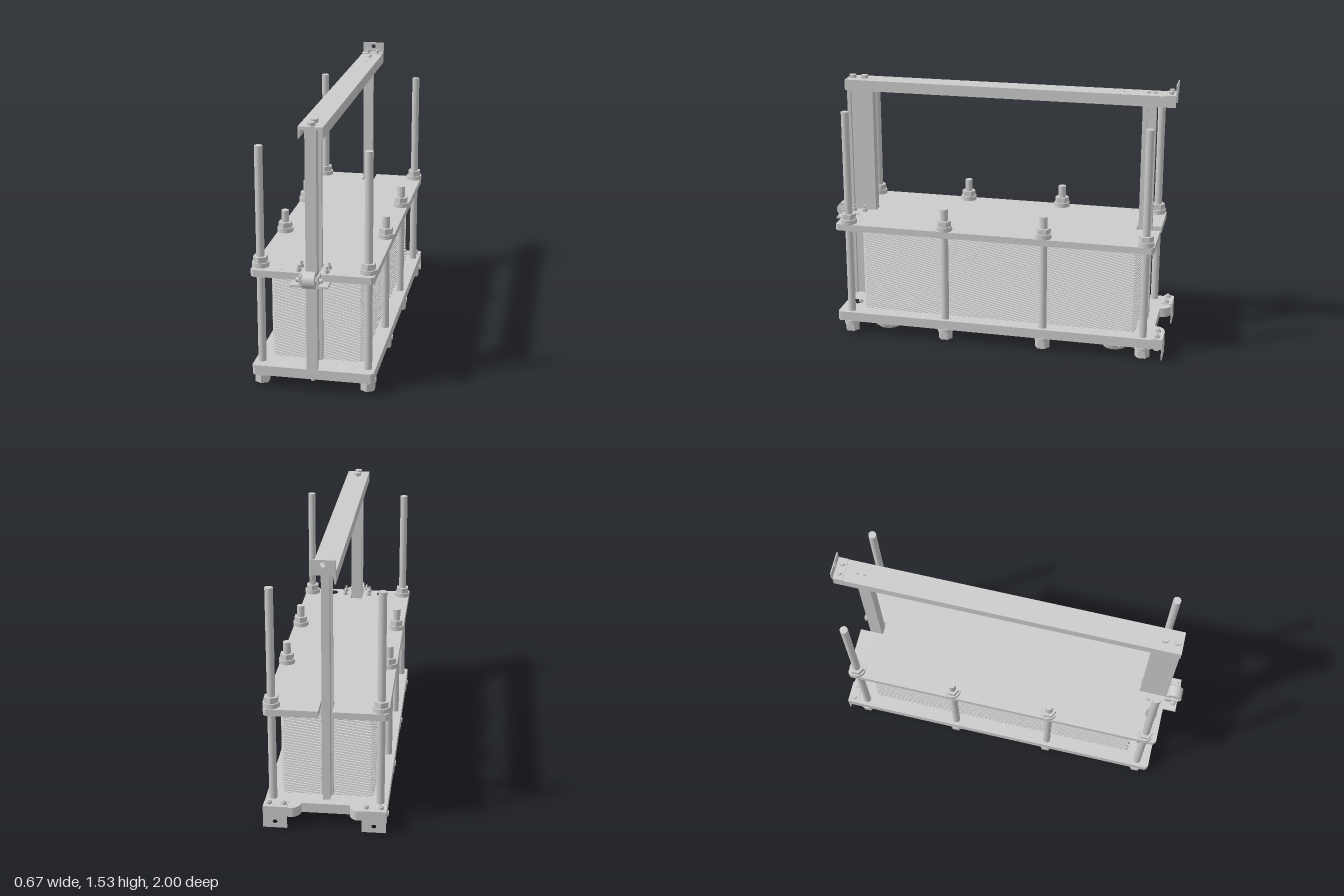
import * as THREE from 'three';
import { toCreasedNormals } from 'three/addons/utils/BufferGeometryUtils.js';

const grey = new THREE.MeshStandardMaterial({ color: 0xcccccc });
const faceted = new THREE.MeshStandardMaterial({ color: 0xcccccc, flatShading: true });

function add(parent, name, geo, x = 0, y = 0, z = 0, mat = grey) {
  const m = new THREE.Mesh(geo, mat);
  m.name = name;
  m.position.set(x, y, z);
  parent.add(m);
  return m;
}

// Box given by its limits on each axis
function block(parent, name, x0, x1, y0, y1, z0, z1) {
  return add(parent, name, new THREE.BoxGeometry(x1 - x0, y1 - y0, z1 - z0),
    (x0 + x1) / 2, (y0 + y1) / 2, (z0 + z1) / 2);
}

// Upright cylinder from y0 to y1; six sides make a hexagon
function post(parent, name, r, y0, y1, x, z, sides = 24, rBottom = r) {
  return add(parent, name, new THREE.CylinderGeometry(r, rBottom, y1 - y0, sides),
    x, (y0 + y1) / 2, z, sides === 6 ? faceted : grey);
}

// Horizontal sheet from an (x, z) outline between y0 and y1
function sheetGeometry(shape, thickness) {
  const g = new THREE.ExtrudeGeometry(shape, { depth: thickness, bevelEnabled: false, curveSegments: 10 });
  return g.rotateX(Math.PI / 2);
}

function outline(points) {
  return new THREE.Shape(points.map(([x, z]) => new THREE.Vector2(x, z)));
}

function circleHole(shape, x, y, r) {
  shape.holes.push(new THREE.Path().absarc(x, y, r, 0, Math.PI * 2, true));
}

// Mirrors the +x half of an outline (listed from front to back) across x = 0
function mirrored(half) {
  return outline([...half, ...half.map(([x, z]) => [-x, z]).reverse()]);
}

// Upright plate with a fixing hole, lying in the xy plane
function holedPlate(parent, name, x0, x1, y0, y1, z, hx, hy) {
  const s = outline([[x0, y0], [x1, y0], [x1, y1], [x0, y1]]);
  circleHole(s, hx, hy, 0.013);
  add(parent, name, new THREE.ExtrudeGeometry(s, { depth: 0.006, bevelEnabled: false }), 0, 0, z);
}

function bolt(parent, x, y, z, r = 0.014, h = 0.018) {
  post(parent, 'boltHead', r, y, y + h, x, z, 6);
}

export function createModel() {
  const model = new THREE.Group();
  model.name = 'plateHeatExchanger';
  const group = (name) => {
    const g = new THREE.Group();
    g.name = name;
    model.add(g);
    return g;
  };

  // Lower pressure plate with rear mounting tabs
  const tab = [];
  for (let i = 0; i <= 8; i++) {
    const a = (i / 8) * Math.PI / 2;
    tab.push([0.195 - 0.065 * Math.sin(a), -1 + 0.065 * (1 - Math.cos(a))]);
  }
  const lower = mirrored([[0.315, 0.91], [0.33, 0.895], [0.33, -0.994], [0.2, -0.994],
    ...tab.map(([x, z]) => [x, Math.max(z, -0.994)]), [0.07, -0.935]]);
  // Upper pressure plate slotted around both columns
  const upper = mirrored([[0.037, 0.75], [0.037, 0.905], [0.315, 0.905], [0.33, 0.89],
    [0.33, -0.92], [0.315, -0.935], [0.037, -0.935], [0.037, -0.8]]);
  for (const s of [-1, 1]) {
    circleHole(lower, s * 0.16, 0.845, 0.034);
    circleHole(upper, s * 0.16, 0.845, 0.034);
    for (const z of [0.65, -0.71]) circleHole(lower, s * 0.15, z, 0.055);
  }
  add(model, 'lowerPlate', sheetGeometry(lower, 0.055), 0, 0.13, 0);
  add(model, 'upperPlate', sheetGeometry(upper, 0.038), 0, 0.675, 0);

  // Stack of thin heat transfer plates
  const pack = group('platePack');
  const thin = mirrored([[0.035, 0.745], [0.035, 0.77], [0.235, 0.77], [0.25, 0.755],
    [0.25, -0.82], [0.235, -0.835], [0.035, -0.835], [0.035, -0.805]]);
  const thinGeo = sheetGeometry(thin, 0.0016);
  const count = 116;
  for (let i = 0; i < count; i++) {
    add(pack, 'heatPlate', thinGeo, 0, 0.1335 + (i + 0.5) * 0.503 / count, 0);
  }

  // Tie rods with nuts and washers
  const rods = group('tieRods');
  for (const x of [-0.29, 0.29]) {
    for (const z of [0.835, 0.265, -0.31, -0.885]) {
      const tall = Math.abs(z) > 0.5;
      post(rods, 'rod', 0.022, 0.012, tall ? 1.335 : 0.8, x, z);
      post(rods, 'lowerNut', 0.042, 0.01, 0.057, x, z, 6);
      post(rods, 'lowerWasher', 0.046, 0.055, 0.076, x, z);
      post(rods, 'upperWasher', 0.046, 0.674, 0.7, x, z);
      post(rods, 'upperNut', 0.041, 0.7, 0.732, x, z, 6);
    }
  }

  // Port flanges under the lower plate
  const flangeGeo = toCreasedNormals(new THREE.LatheGeometry([[0.055, 0.08], [0.055, 0], [0.068, 0],
    [0.085, 0.045], [0.122, 0.045], [0.122, 0.072], [0.055, 0.08]].map(([r, y]) => new THREE.Vector2(r, y)), 36), 0.5);
  const ports = group('ports');
  for (const x of [-0.15, 0.15]) {
    for (const z of [0.65, -0.71]) {
      add(ports, 'portFlange', flangeGeo, x, 0, z, new THREE.MeshStandardMaterial({ color: 0xcccccc, side: THREE.DoubleSide }));
      for (let i = 0; i < 8; i++) {
        const a = (i + 0.5) * Math.PI / 4;
        bolt(ports, x + 0.102 * Math.cos(a), 0.033, z + 0.102 * Math.sin(a), 0.013, 0.013);
      }
    }
  }

  // Front I-beam column
  const front = group('frontColumn');
  block(front, 'frontFlange', -0.03, 0.03, 0.13, 1.45, 0.889, 0.91);
  block(front, 'rearFlange', -0.03, 0.03, 0.13, 1.45, 0.755, 0.777);
  block(front, 'web', -0.012, 0.012, 0.13, 1.45, 0.777, 0.889);
  for (const z of [0.81, 0.88]) bolt(front, 0, 0.058, z);

  // Rear T-section column
  const rear = group('rearColumn');
  block(rear, 'flange', -0.03, 0.03, 0.13, 1.45, -0.835, -0.81);
  block(rear, 'web', -0.02, 0.02, 0.13, 1.45, -0.885, -0.835);

  // Overhead channel, open downwards, with tapered legs
  const beam = group('overheadBeam');
  const section = outline([[-0.065, 1.465], [-0.065, 1.403], [-0.058, 1.403], [-0.05, 1.448],
    [0.05, 1.448], [0.058, 1.403], [0.065, 1.403], [0.065, 1.465]]);
  add(beam, 'channel', new THREE.ExtrudeGeometry(section, { depth: 1.905, bevelEnabled: false }), 0, 0, -0.995);
  holedPlate(beam, 'endBracket', -0.065, 0.065, 1.465, 1.53, -1, 0, 1.505);
  block(beam, 'endBracketFoot', -0.065, 0.065, 1.465, 1.47, -1, -0.94);
  for (const x of [-0.028, 0.028]) bolt(beam, x, 1.469, -0.965);
  for (const z of [-0.875, -0.835]) bolt(beam, 0, 1.464, z, 0.011, 0.01);
  for (const z of [0.81, 0.88]) bolt(beam, 0, 1.464, z, 0.022, 0.02);
  post(beam, 'pin', 0.009, 1.46, 1.467, 0, -0.7, 12);

  // Roller and its carrier at the front of the upper plate
  const carrier = group('rollerCarrier');
  const wheel = add(carrier, 'roller', new THREE.CylinderGeometry(0.045, 0.045, 0.066, 32), 0, 0.66, 0.955);
  wheel.rotation.z = Math.PI / 2;
  const axle = add(carrier, 'axle', new THREE.CylinderGeometry(0.013, 0.013, 0.14, 16), 0, 0.66, 0.955);
  axle.rotation.z = Math.PI / 2;
  for (const s of [-1, 1]) {
    const [a, b] = s > 0 ? [0.04, 0.1] : [-0.1, -0.04];
    block(carrier, 'carrierPlate', a, b, 0.625, 0.637, 0.78, 0.98);
    const [c, d] = s > 0 ? [0.042, 0.052] : [-0.052, -0.042];
    block(carrier, 'cheek', c, d, 0.635, 0.685, 0.905, 0.98);
    for (const z of [0.81, 0.875]) {
      post(carrier, 'stud', 0.008, 0.61, 0.71, s * 0.075, z, 12);
      bolt(carrier, s * 0.075, 0.675, z, 0.015);
      bolt(carrier, s * 0.075, 0.611, z, 0.015, 0.014);
    }
  }

  // Rear mounting brackets
  const feet = group('mountingBrackets');
  for (const s of [-1, 1]) {
    const [a, b] = s > 0 ? [0.2, 0.33] : [-0.33, -0.2];
    holedPlate(feet, 'bracketPlate', a, b, 0.01, 0.136, -1, s * 0.265, 0.045);
    block(feet, 'bracketFoot', a, b, 0.13, 0.136, -1, -0.94);
    for (const x of [0.22, 0.3]) {
      bolt(feet, s * x, 0.135, -0.965, 0.016, 0.016);
      post(feet, 'stud', 0.008, 0.055, 0.157, s * x, -0.965, 12);
      bolt(feet, s * x, 0.058, -0.965, 0.016);
    }
  }
  return model;
}
